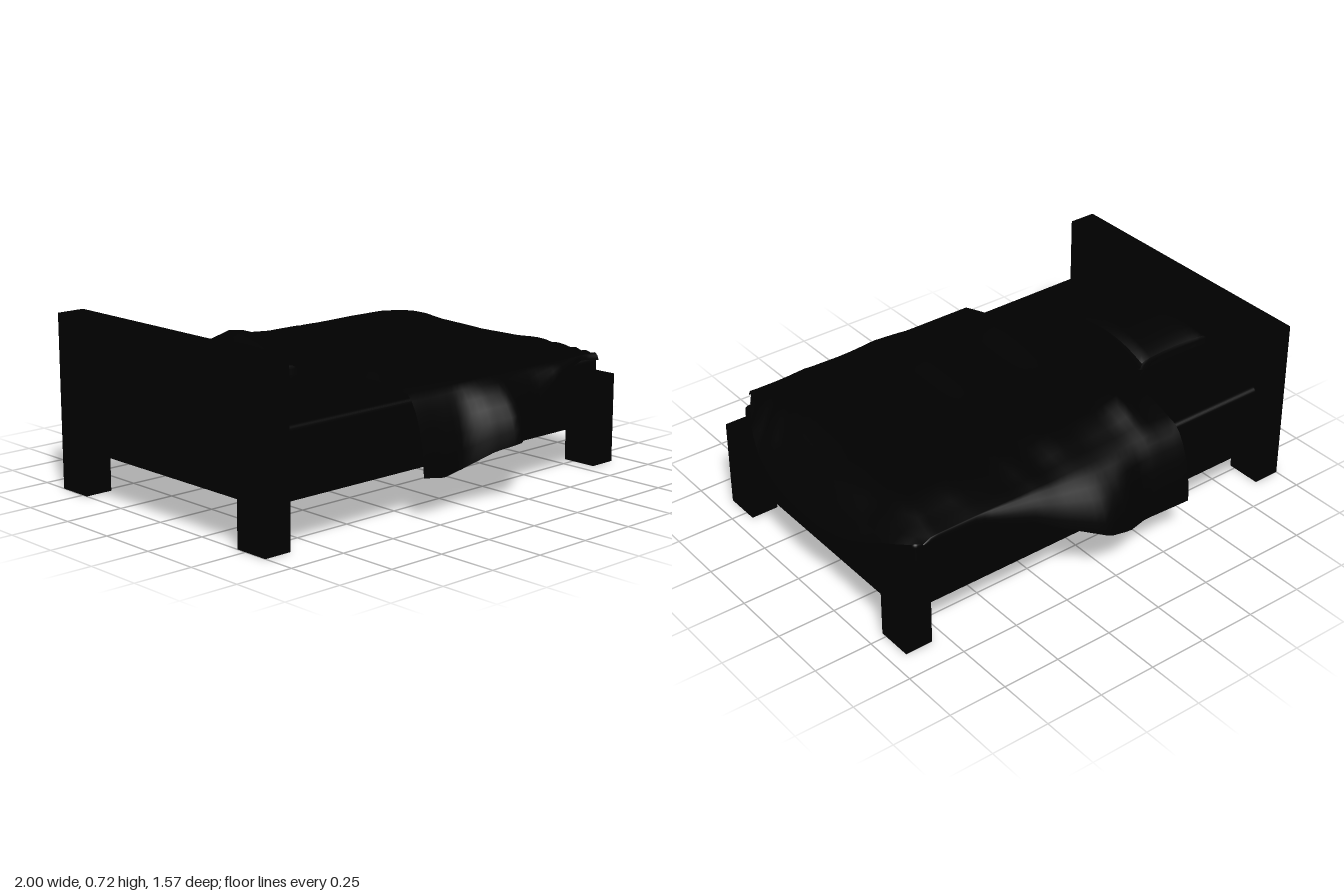
import * as THREE from 'three';
import { RoundedBoxGeometry } from 'three/addons/geometries/RoundedBoxGeometry.js';

const dark = new THREE.MeshStandardMaterial({ color: 0x000000 });
const darkCloth = new THREE.MeshStandardMaterial({ color: 0x000000, side: THREE.DoubleSide });
const BACK = -0.63, FRONT = 0.61;
const lerp = THREE.MathUtils.lerp;

// Box given by its limits on each axis
function box(name, x0, x1, y0, y1, z0, z1, radius = 0) {
  const size = [x1 - x0, y1 - y0, z1 - z0];
  const geo = radius ? new RoundedBoxGeometry(...size, 3, radius) : new THREE.BoxGeometry(...size);
  const mesh = new THREE.Mesh(geo, dark);
  mesh.name = name;
  mesh.position.set((x0 + x1) / 2, (y0 + y1) / 2, (z0 + z1) / 2);
  return mesh;
}

// Piecewise linear reading of rows [key, value, value...]
function sample(rows, key) {
  let i = 0;
  while (i < rows.length - 2 && key > rows[i + 1][0]) i++;
  const a = rows[i], b = rows[i + 1];
  const k = THREE.MathUtils.clamp((key - a[0]) / (b[0] - a[0]), 0, 1);
  return a.slice(1).map((v, j) => lerp(v, b[j + 1], k));
}

// Pillow: rounded box with pinched sides and a softly domed top
function pillow() {
  const w = 0.39, h = 0.16, d = 0.55;
  const geo = new THREE.BoxGeometry(w, h, d, 12, 6, 14);
  const p = geo.attributes.position;
  const r = 0.045;
  for (let i = 0; i < p.count; i++) {
    const v = new THREE.Vector3().fromBufferAttribute(p, i);
    const core = new THREE.Vector3(
      THREE.MathUtils.clamp(v.x, -w / 2 + r, w / 2 - r),
      THREE.MathUtils.clamp(v.y, -h / 2 + r, h / 2 - r),
      THREE.MathUtils.clamp(v.z, -d / 2 + 0.02, d / 2 - 0.02));
    const out = v.clone().sub(core);
    if (out.lengthSq() > 0) {
      out.normalize();
      v.set(core.x + out.x * r, core.y + out.y * r, core.z + out.z * 0.02);
    }
    const u = v.x / (w / 2), s = v.z / (d / 2);
    v.x *= 1 - (u < 0 ? 0.24 : 0.08) * (1 - s * s);
    v.z *= 1 - 0.05 * (1 - u * u);
    if (v.y > 0) v.y -= 0.045 * s * s;
    p.setXYZ(i, v.x, v.y, v.z);
  }
  geo.computeVertexNormals();
  const mesh = new THREE.Mesh(geo, dark);
  mesh.name = 'pillow';
  mesh.position.set(-0.685, 0.54, -0.035);
  return mesh;
}

// Hanging hems: x, y, z
const backHem = [[-0.39, 0.18, -0.73], [-0.16, 0.19, -0.73], [-0.04, 0.22, -0.78], [0.07, 0.25, -0.79],
  [0.27, 0.34, -0.72], [0.36, 0.39, -0.69], [0.58, 0.46, -0.64], [0.84, 0.47, -0.635]];
const frontHem = [[-0.29, 0.18, 0.7], [-0.18, 0.16, 0.7], [-0.06, 0.18, 0.7], [0.05, 0.23, 0.75], [0.16, 0.25, 0.785],
  [0.28, 0.27, 0.73], [0.36, 0.33, 0.69], [0.53, 0.44, 0.66], [0.72, 0.47, 0.61], [0.8, 0.46, 0.63]];
// Crest height along x, and how strongly it shows along z
const crest = [[-0.4, 0.54], [-0.31, 0.55], [-0.25, 0.585], [-0.16, 0.555], [0, 0.54], [0.12, 0.545],
  [0.24, 0.515], [0.3, 0.53], [0.39, 0.515], [0.6, 0.54], [0.8, 0.52], [0.93, 0.455], [1, 0.375]];
const swell = [[-0.63, 0.1], [-0.45, 1], [-0.2, 0.6], [0, 0.35], [0.2, 0.5], [0.35, 0.6], [0.61, 0]];

function blanketPoint(t, row, top, hang) {
  const bx = lerp(-0.39, 0.84, t), fx = lerp(-0.29, 0.8, t);
  const k = THREE.MathUtils.clamp((row - hang) / top, 0, 1);
  const onTop = (kk) => {
    const z = lerp(BACK, FRONT, kk), s = 2 * kk - 1;
    const ease = Math.max(0, (t - 0.4) / 0.6);
    const x = lerp(bx, fx, kk) + 0.18 * (1 - Math.abs(s) ** 2.6) * ease ** 1.5
      - 0.05 * (1 - s * s) * (1 - t) ** 4;
    const c = sample(crest, x)[0], drop = Math.min(0, c - 0.52) * (x > 0.8 ? 1 : 0);
    const y = 0.49 + Math.max(0, c - 0.49) * sample(swell, z)[0] + drop * 0.9;
    return [x, x > 0.87 ? y : Math.max(y, 0.472), z];
  };
  if (row >= hang && row <= hang + top) return onTop(k);
  // Side drape: curves outward, then falls to the hem
  const back = row < hang;
  const f = (back ? hang - row : row - hang - top) / hang;
  const from = onTop(back ? 0 : 1);
  const x = back ? bx : fx;
  const [y, z] = sample(back ? backHem : frontHem, x);
  return [x, lerp(from[1], y, f ** 1.4), lerp(from[2], z, Math.sin(f * Math.PI / 2))];
}

// Blanket: one cloth surface of cross-sections along the bed
function blanket() {
  const cols = 36, top = 24, hang = 6, rows = top + 2 * hang;
  const pos = [], index = [];
  for (let i = 0; i <= cols; i++)
    for (let j = 0; j <= rows; j++) pos.push(...blanketPoint(i / cols, j, top, hang));
  for (let i = 0; i < cols; i++)
    for (let j = 0; j < rows; j++) {
      const a = i * (rows + 1) + j, b = a + rows + 1;
      index.push(a, a + 1, b, a + 1, b + 1, b);
    }
  const geo = new THREE.BufferGeometry();
  geo.setAttribute('position', new THREE.Float32BufferAttribute(pos, 3));
  geo.setIndex(index);
  geo.computeVertexNormals();
  const mesh = new THREE.Mesh(geo, darkCloth);
  mesh.name = 'blanket';
  return mesh;
}

export function createModel() {
  const bed = new THREE.Group();
  bed.name = 'bed';
  // Frame
  bed.add(box('headboard', -1, -0.88, 0.19, 0.72, BACK, FRONT));
  bed.add(box('bedBase', -0.88, 0.93, 0.19, 0.38, BACK, FRONT));
  // Legs at the four corners
  for (const [end, x] of [['head', -1], ['foot', 0.81]]) {
    bed.add(box(end + 'LegBack', x, x + 0.12, 0, 0.19, BACK, BACK + 0.155));
    bed.add(box(end + 'LegFront', x, x + 0.12, 0, 0.19, FRONT - 0.155, FRONT));
  }
  // Bedding
  bed.add(box('mattress', -0.88, 0.86, 0.34, 0.46, BACK + 0.03, FRONT - 0.03, 0.02));
  bed.add(pillow(), blanket());
  return bed;
}
